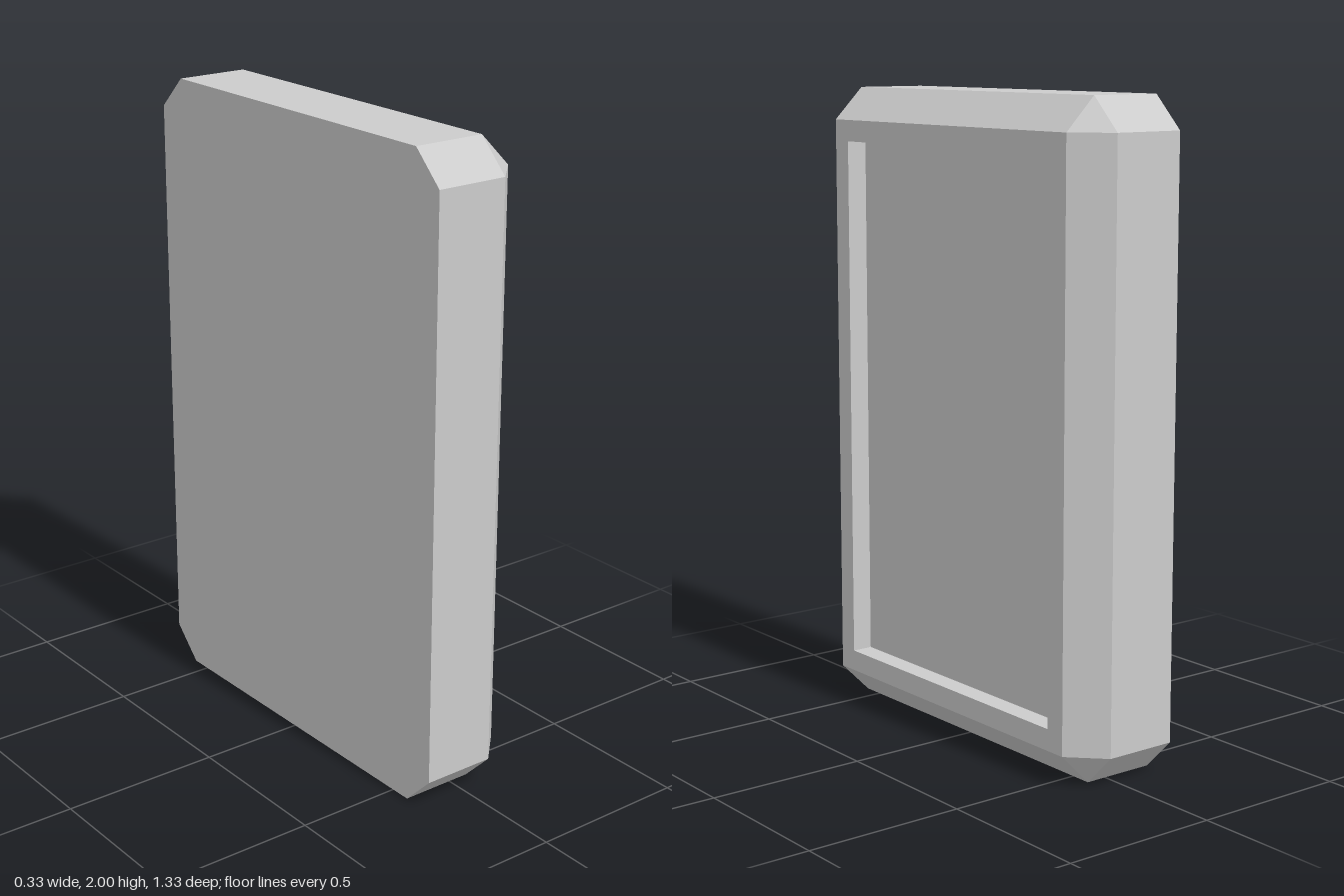
import * as THREE from 'three';

// Rectangular ring in the plane x, counterclockwise seen from +x;
// each corner is two points, cut by the given chamfer (0 = square corner).
function ring(x, halfDepth, halfHeight, chamfer) {
  const points = [];
  for (const [sz, sy] of [[-1, 1], [1, 1], [1, -1], [-1, -1]]) {
    const onSide = new THREE.Vector3(x, 1 + sy * (halfHeight - chamfer), sz * halfDepth);
    const onEnd = new THREE.Vector3(x, 1 + sy * halfHeight, sz * (halfDepth - chamfer));
    points.push(...(sz * sy < 0 ? [onSide, onEnd] : [onEnd, onSide]));
  }
  return points;
}

// Flat-shaded geometry from triangles, dropping collapsed ones.
function fromTriangles(triangles) {
  const solid = triangles.filter(([a, b, c]) => new THREE.Triangle(a, b, c).getArea() > 1e-8);
  const geometry = new THREE.BufferGeometry().setFromPoints(solid.flat());
  geometry.computeVertexNormals();
  return geometry;
}

// Skin between consecutive rings
function loft(rings) {
  const triangles = [];
  for (let r = 0; r < rings.length - 1; r++) {
    const a = rings[r], b = rings[r + 1];
    for (let i = 0; i < a.length; i++) {
      const j = (i + 1) % a.length;
      triangles.push([a[i], a[j], b[j]], [a[i], b[j], b[i]]);
    }
  }
  return triangles;
}

// Flat fill of one ring
function cap(points) {
  const triangles = [];
  for (let i = 1; i < points.length - 1; i++) triangles.push([points[0], points[i], points[i + 1]]);
  return triangles;
}

export function createModel() {
  const group = new THREE.Group();
  const material = new THREE.MeshStandardMaterial({ color: 0xcccccc, flatShading: true });
  const add = (name, triangles) => {
    const mesh = new THREE.Mesh(fromTriangles(triangles), material);
    mesh.name = name;
    group.add(mesh);
  };

  const back = ring(-0.1667, 0.6667, 1, 0.1);
  const shoulder = ring(0.0667, 0.6667, 1, 0.1);
  const face = ring(0.1667, 0.5667, 0.9, 0);
  const opening = ring(0.1667, 0.5, 0.8333, 0);
  const floor = ring(0.1, 0.5, 0.8333, 0);

  // Chamfered casing: back, sides, bevel, rim and recess walls
  add('casing', [...cap([...back].reverse()), ...loft([back, shoulder, face, opening, floor])]);

  // Sunken panel inside the rim
  add('recessedPanel', cap(floor));

  return group;
}
